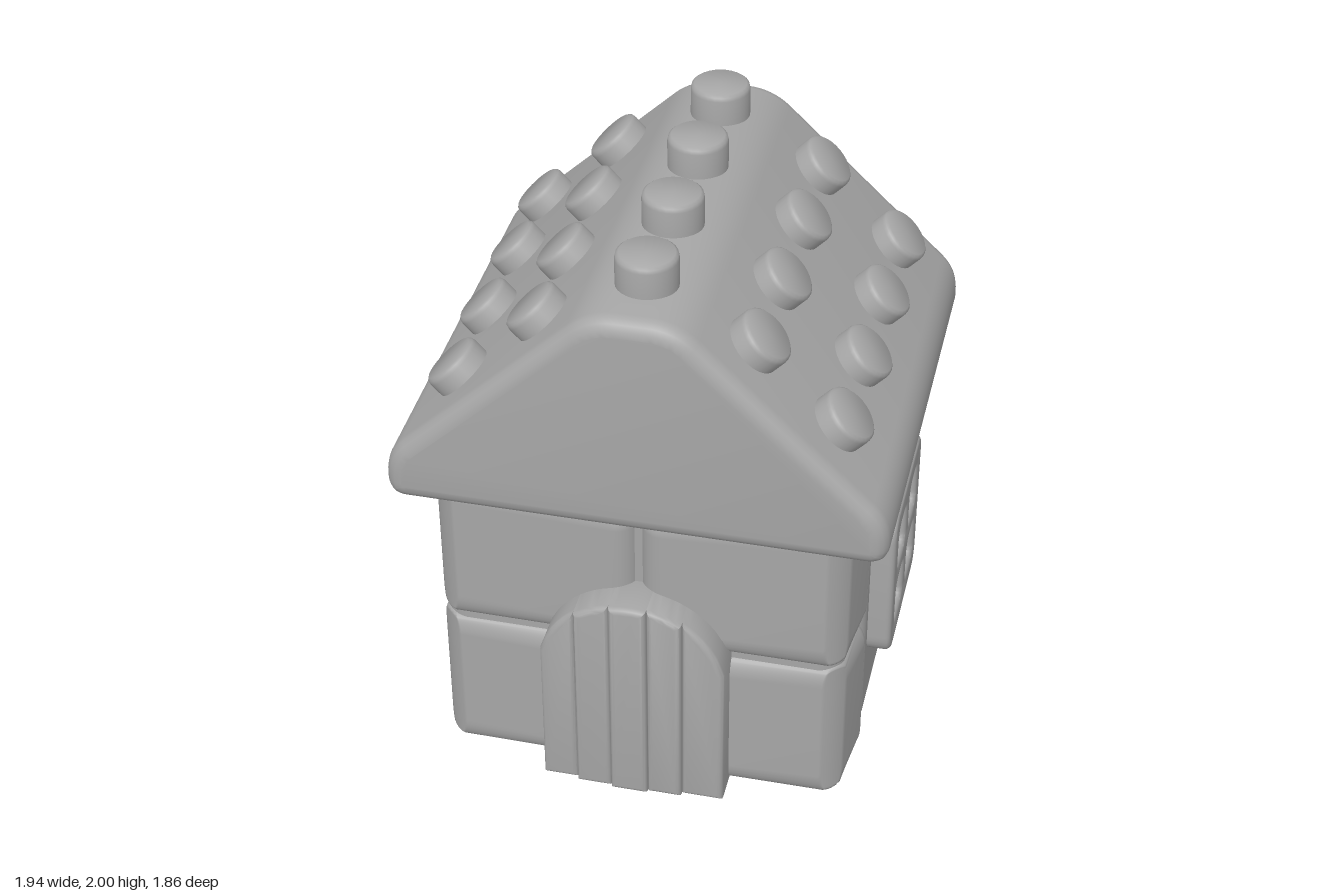
import * as THREE from 'three';
import { mergeVertices, toCreasedNormals } from 'three/addons/utils/BufferGeometryUtils.js';
import { RoundedBoxGeometry } from 'three/addons/geometries/RoundedBoxGeometry.js';

const clay = new THREE.MeshStandardMaterial({ color: 0xa6a6a6 });
clay.name = 'greyClay';

const HALF = 0.715; // half width of the walls
const CORNER = 0.2; // plan radius of the house corners

function add(parent, name, geometry) {
  const mesh = new THREE.Mesh(geometry, clay);
  mesh.name = name;
  parent.add(mesh);
  return mesh;
}

// Soft box between two corners, with the house corners rounded in plan
function softBox(x0, x1, y0, y1, z0, z1, radius) {
  let g = new RoundedBoxGeometry(x1 - x0, y1 - y0, z1 - z0, 5, radius);
  g.translate((x0 + x1) / 2, (y0 + y1) / 2, (z0 + z1) / 2);
  const p = g.attributes.position;
  const inner = HALF - CORNER;
  for (let i = 0; i < p.count; i++) {
    const x = p.getX(i), z = p.getZ(i);
    const dx = Math.abs(x) - inner, dz = Math.abs(z) - inner;
    const d = Math.hypot(dx, dz);
    if (dx > 0 && dz > 0 && d > CORNER) {
      p.setX(i, Math.sign(x) * (inner + dx * CORNER / d));
      p.setZ(i, Math.sign(z) * (inner + dz * CORNER / d));
    }
  }
  g.deleteAttribute('uv');
  g.deleteAttribute('normal');
  g = mergeVertices(g, 1e-4);
  g.computeVertexNormals();
  return g;
}

// Trace a polygon with rounded corners; each point is [x, y, radius]
function roundedPath(path, pts) {
  pts.forEach(([x, y, r], i) => {
    const c = new THREE.Vector2(x, y);
    const toward = (q) => new THREE.Vector2(q[0], q[1]).sub(c).setLength(r).add(c);
    const a = toward(pts[(i + pts.length - 1) % pts.length]);
    const b = toward(pts[(i + 1) % pts.length]);
    if (i === 0) path.moveTo(a.x, a.y);
    else path.lineTo(a.x, a.y);
    path.quadraticCurveTo(x, y, b.x, b.y);
  });
  path.closePath();
  return path;
}

const rect = (cx, cy, w, h, r) => [
  [cx - w / 2, cy - h / 2, r], [cx + w / 2, cy - h / 2, r],
  [cx + w / 2, cy + h / 2, r], [cx - w / 2, cy + h / 2, r],
];

// Extrusion with soft edges that stays inside its outline, from z = 0 to depth
function softExtrude(shape, depth, bevel) {
  const g = new THREE.ExtrudeGeometry(shape, {
    depth: depth - 2 * bevel, bevelEnabled: true, bevelThickness: bevel,
    bevelSize: bevel, bevelOffset: -bevel, bevelSegments: 4, curveSegments: 8,
  });
  g.translate(0, 0, bevel);
  return toCreasedNormals(g, 0.6);
}

function buildWalls(house) {
  const walls = new THREE.Group();
  walls.name = 'walls';
  house.add(walls);
  add(walls, 'wallCore', softBox(-0.675, 0.675, 0.07, 1.12, -0.675, 0.675, 0.08));

  // Two rows of puffy blocks: wide ones in front, corner ones behind
  for (const [y0, y1] of [[0, 0.565], [0.565, 1.13]]) {
    for (const s of [-1, 1]) {
      const span = (a, b) => (s > 0 ? [a, b] : [-b, -a]);
      add(walls, 'frontBlock', softBox(...span(0, HALF), y0, y1, 0.355, HALF, 0.085));
      add(walls, 'backCornerBlock', softBox(...span(0.355, HALF), y0, y1, -HALF, -0.355, 0.085));
    }
  }
  // Plain panels behind the windows
  add(walls, 'sidePanel', softBox(0.34, 0.7, 0.005, 1.12, -0.36, 0.36, 0.06));
  add(walls, 'sidePanel', softBox(-0.7, -0.34, 0.005, 1.12, -0.36, 0.36, 0.06));
  add(walls, 'backPanel', softBox(-0.36, 0.36, 0.005, 1.12, -0.7, -0.34, 0.06));

  // Floor with a round hole
  const floor = roundedPath(new THREE.Shape(), rect(0, 0, 0.72, 0.72, 0.02));
  floor.holes.push(new THREE.Path().absarc(0, 0, 0.11, 0, Math.PI * 2, true));
  const plate = add(walls, 'floor', softExtrude(floor, 0.08, 0.01));
  plate.rotation.x = -Math.PI / 2;
  plate.position.y = 0.01;
}

function buildWindows(house) {
  const frame = roundedPath(new THREE.Shape(), rect(0, 0, 0.56, 0.59, 0.09));
  for (const x of [-0.115, 0.115]) {
    for (const y of [-0.12, 0.12]) {
      frame.holes.push(roundedPath(new THREE.Path(), rect(x, y, 0.15, 0.16, 0.035)));
    }
  }
  const geometry = softExtrude(frame, 0.11, 0.02);
  for (const angle of [Math.PI / 2, -Math.PI / 2, Math.PI]) {
    const w = add(house, 'windowFrame', geometry);
    w.rotation.y = angle;
    w.position.set(Math.sin(angle) * 0.67, 0.585, Math.cos(angle) * 0.67);
  }
}

function buildDoor(house) {
  const door = new THREE.Group();
  door.name = 'door';
  house.add(door);
  const edges = [-0.31, -0.19, -0.07, 0.055, 0.17, 0.31];
  const fronts = [0.805, 0.82, 0.83, 0.82, 0.805];
  const arch = (x) => 0.5 + 0.32 * Math.sqrt(Math.max(0, 1 - (x / 0.318) ** 2));
  // Planks cut along one arch
  fronts.forEach((front, i) => {
    const a = edges[i], b = edges[i + 1];
    const shape = new THREE.Shape().moveTo(a, 0.015).lineTo(b, 0.015);
    for (let k = 0; k <= 6; k++) {
      const x = b + (a - b) * k / 6;
      shape.lineTo(x, arch(x));
    }
    shape.closePath();
    add(door, 'doorPlank', softExtrude(shape, front - 0.6, 0.02)).position.z = 0.6;
  });
}

function buildRoof(house) {
  const gable = roundedPath(new THREE.Shape(), [
    [-0.815, 1.085, 0.07], [0.815, 1.085, 0.07], [0.815, 1.25, 0.08],
    [0.14, 1.89, 0.09], [-0.14, 1.89, 0.09], [-0.815, 1.25, 0.08],
  ]);
  add(house, 'roof', softExtrude(gable, 1.52, 0.055)).position.z = -0.76;

  // Round studs on the ridge and both slopes
  const profile = [[0.1, -0.06], [0.1, 0.05], [0.097, 0.063], [0.088, 0.07], [0, 0.07]];
  const stud = toCreasedNormals(
    new THREE.LatheGeometry(profile.map(([x, y]) => new THREE.Vector2(x, y)), 28), 0.9);
  const slope = Math.atan2(0.64, 0.675);
  for (const z of [-0.53, -0.185, 0.172, 0.522]) {
    add(house, 'ridgeStud', stud).position.set(0, 1.93, z);
    for (const s of [-1, 1]) {
      for (const x of [0.335, 0.605]) {
        const m = add(house, 'slopeStud', stud);
        m.position.set(s * x, 1.89 - (x - 0.14) * Math.tan(slope), z);
        m.rotation.z = -s * slope;
      }
    }
  }
}

export function createModel() {
  const model = new THREE.Group();
  model.name = 'toyHouse';
  const house = new THREE.Group();
  house.name = 'house';
  house.rotation.y = 0.257; // the house stands turned a little
  model.add(house);
  buildWalls(house);
  buildWindows(house);
  buildDoor(house);
  buildRoof(house);
  return model;
}
